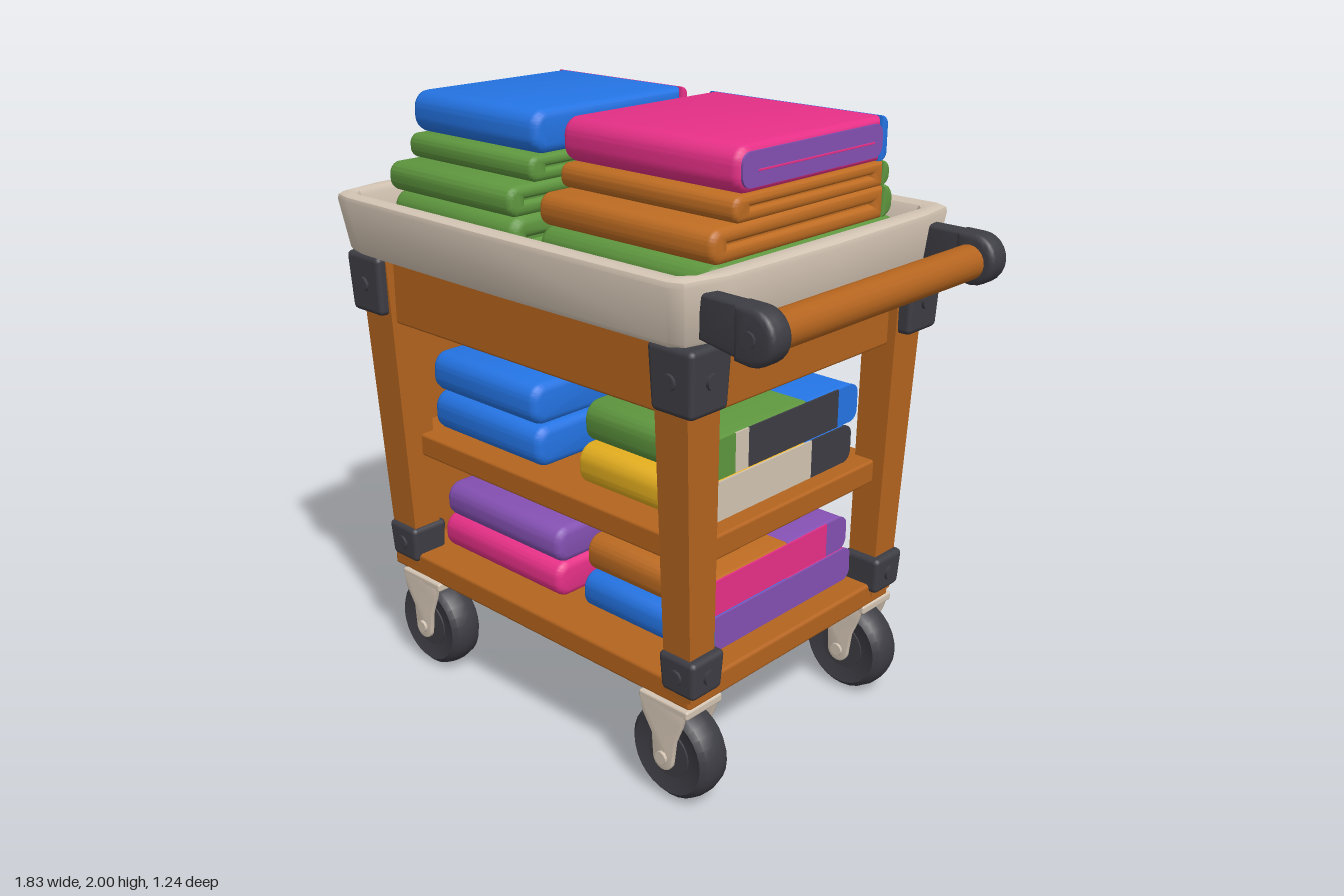
import * as THREE from 'three';
import { toCreasedNormals } from 'three/addons/utils/BufferGeometryUtils.js';
import { RoundedBoxGeometry } from 'three/addons/geometries/RoundedBoxGeometry.js';

const colours = {
  blue: 0x2474e4, pink: 0xe83088, green: 0x5e963e, purple: 0x8450b2, yellow: 0xe6b01f,
  wood: 0xb4641e, rust: 0xbe6c22, beige: 0xd3c4b3, dark: 0x3c3c43,
};

export function createModel() {
  const cart = new THREE.Group();
  cart.name = 'towelCart';
  const mats = {};
  for (const [name, color] of Object.entries(colours)) {
    mats[name] = new THREE.MeshStandardMaterial({ color });
    mats[name].name = name;
  }
  const add = (name, geo, mat, parent = cart) => {
    const mesh = new THREE.Mesh(geo, mats[mat]);
    mesh.name = name;
    parent.add(mesh);
    return mesh;
  };
  const box = (name, mat, [x0, x1], [y0, y1], [z0, z1], r = 0.01) => {
    const g = new RoundedBoxGeometry(x1 - x0, y1 - y0, z1 - z0, 2, r);
    g.translate((x0 + x1) / 2, (y0 + y1) / 2, (z0 + z1) / 2);
    return add(name, g, mat);
  };
  const extrude = (shape, depth, b) => toCreasedNormals(new THREE.ExtrudeGeometry(shape, {
    depth: depth - 2 * b, bevelEnabled: b > 0, bevelSize: b, bevelThickness: b, bevelOffset: -b,
    bevelSegments: 3, curveSegments: 6,
  }).translate(0, 0, b), 0.7);
  const outline = (pts, Type) => new Type(pts.map(q => new THREE.Vector2(...q)));

  // Shelves and aprons
  box('bottomShelf', 'wood', [-0.815, 0.6], [0.35, 0.43], [-0.505, 0.505], 0.012);
  box('middleShelf', 'wood', [-0.78, 0.575], [0.79, 0.87], [-0.46, 0.46]);
  for (const s of [1, -1]) {
    box(s > 0 ? 'frontApron' : 'backApron', 'wood', [-0.72, 0.54], [1.28, 1.52], [s * 0.505 - 0.025, s * 0.505 + 0.025]);
  }
  box('rightApron', 'wood', [0.54, 0.595], [1.27, 1.52], [-0.47, 0.47]);

  // Closed end panel, flush with the flared legs
  const panel = box('endPanel', 'wood', [-0.8, -0.76], [0.4, 1.52], [-0.5, 0.5], 0.005);
  const pp = panel.geometry.attributes.position;
  for (let i = 0; i < pp.count; i++) {
    const t = (pp.getY(i) - 0.4) / 1.12;
    pp.setX(i, pp.getX(i) - 0.025 * t);
    pp.setZ(i, pp.getZ(i) * (1 + 0.1 * t));
  }

  // Legs flare outward toward the top
  const leg = (sx, sz) => {
    const g = new THREE.BoxGeometry(1, 1, 1), p = g.attributes.position;
    for (let i = 0; i < p.count; i++) {
      const top = p.getY(i) > 0, outX = p.getX(i) * sx > 0, outZ = p.getZ(i) * sz > 0;
      const x = outX ? (top ? 0.725 : 0.7) : (sx > 0 ? 0.597 : 0.582);
      const z = outZ ? (top ? 0.56 : 0.505) : (top ? 0.42 : 0.403);
      p.setXYZ(i, -0.095 + sx * x, top ? 1.52 : 0.38, sz * z);
    }
    g.computeVertexNormals();
    add('leg', g, 'wood');
  };

  // Corner brackets with one bolt on each outer face
  const bracket = (sx, sz, x, y, z, w, h) => {
    const group = new THREE.Group();
    group.name = 'cornerBracket';
    group.position.set(x, y, z);
    const g = new RoundedBoxGeometry(w, h, w, 2, 0.018), p = g.attributes.position;
    for (let i = 0; i < p.count; i++) {
      const k = 0.95 + 0.1 * (p.getY(i) / h);
      p.setX(i, p.getX(i) * k);
      p.setZ(i, p.getZ(i) * k);
    }
    add('bracketBody', g, 'dark', group);
    const bolt = new THREE.CylinderGeometry(0.025, 0.025, 0.016, 10).rotateX(Math.PI / 2);
    add('bolt', bolt, 'dark', group).position.z = sz * (w / 2 - 0.002);
    const side = add('bolt', bolt, 'dark', group);
    side.rotation.y = Math.PI / 2;
    side.position.x = sx * (w / 2 - 0.002);
    cart.add(group);
  };

  // Casters: tyre, hub, tapered fork plates and axle
  const caster = (x, z) => {
    const group = new THREE.Group();
    group.name = 'caster';
    group.position.set(x, 0.16, z);
    const tyre = [[0.05, -0.045], [0.1, -0.05], [0.135, -0.06], [0.152, -0.045], [0.16, -0.015],
      [0.16, 0.015], [0.152, 0.045], [0.135, 0.06], [0.1, 0.05], [0.05, 0.045]].map(q => new THREE.Vector2(...q));
    add('tyre', toCreasedNormals(new THREE.LatheGeometry(tyre, 28).rotateX(Math.PI / 2), 0.6), 'dark', group);
    add('hub', new THREE.CylinderGeometry(0.08, 0.08, 0.108, 20).rotateX(Math.PI / 2), 'dark', group);
    const s = new THREE.Shape();
    s.moveTo(-0.095, 0.185);
    s.lineTo(-0.085, 0.13);
    s.lineTo(-0.045, 0.07);
    s.lineTo(-0.04, 0.0);
    s.absarc(0, -0.005, 0.04, Math.PI, 0, false);
    s.lineTo(0.05, 0.07);
    s.lineTo(0.075, 0.13);
    s.lineTo(0.09, 0.185);
    for (const side of [1, -1]) {
      add('forkPlate', extrude(s, 0.016, 0.003), 'beige', group).position.z = side * 0.072 - 0.008;
    }
    add('mountPlate', new RoundedBoxGeometry(0.2, 0.03, 0.16, 2, 0.008), 'beige', group).position.y = 0.182;
    add('axle', new THREE.CylinderGeometry(0.022, 0.022, 0.18, 10).rotateX(Math.PI / 2), 'beige', group);
    cart.add(group);
  };

  for (const sx of [1, -1]) for (const sz of [1, -1]) {
    leg(sx, sz);
    bracket(sx, sz, -0.087 + sx * 0.678, 1.41, sz * 0.505, 0.17, 0.2);
    bracket(sx, sz, -0.087 + sx * 0.65, 0.465, sz * 0.455, 0.145, 0.13);
    caster(-0.075 + sx * 0.58, sz * 0.44);
  }

  // Tray rim: bowed outline, narrower at the bottom
  const rim = outline([[-0.77, -0.57], [-0.75, -0.6], [-0.68, -0.615], [0.0, -0.625], [0.72, -0.62], [0.765, -0.6],
    [0.8, -0.46], [0.81, 0], [0.8, 0.46], [0.78, 0.6], [0.74, 0.62], [0, 0.62], [-0.7, 0.605], [-0.76, 0.59],
    [-0.79, 0.42], [-0.81, 0], [-0.795, -0.42]], THREE.Shape);
  rim.holes.push(outline([[-0.73, -0.52], [-0.7, -0.55], [0.7, -0.55], [0.725, -0.52],
    [0.725, 0.52], [0.7, 0.55], [-0.7, 0.55], [-0.73, 0.52]], THREE.Path));
  const rimGeo = new THREE.ExtrudeGeometry(rim, {
    depth: 0.16, bevelSize: 0.02, bevelThickness: 0.02, bevelOffset: -0.02, bevelSegments: 2,
  }).rotateX(-Math.PI / 2).translate(0, 1.52, 0);
  const rp = rimGeo.attributes.position;
  for (let i = 0; i < rp.count; i++) {
    const t = (1.7 - rp.getY(i)) / 0.2;
    rp.setX(i, rp.getX(i) * (1 - 0.03 * t) - 0.11);
    rp.setZ(i, rp.getZ(i) * (1 - 0.05 * t));
  }
  add('trayRim', toCreasedNormals(rimGeo, 0.5), 'beige');
  box('trayFloor', 'wood', [-0.85, 0.63], [1.505, 1.54], [-0.54, 0.54]);

  // Push handle: slim arms with thicker rounded ends
  const armShape = (x0, yLow) => {
    const s = new THREE.Shape();
    s.moveTo(x0, yLow);
    s.lineTo(0.837, 1.499);
    s.absarc(0.837, 1.579, 0.08, -Math.PI / 2, Math.PI / 2, false);
    s.lineTo(x0, 1.66);
    return s;
  };
  for (const s of [1, -1]) {
    add('handleArm', extrude(armShape(0.65, 1.53), 0.06, 0.012), 'dark').position.z = s * 0.512 - 0.03;
    add('handleEnd', extrude(armShape(0.78, 1.505), 0.085, 0.018), 'dark').position.z = s * 0.515 - 0.0425;
    add('handleBolt', new THREE.CylinderGeometry(0.024, 0.024, 0.014, 10).rotateX(Math.PI / 2), 'dark')
      .position.set(0.837, 1.577, s * 0.558);
  }
  add('handleBar', new THREE.CylinderGeometry(0.055, 0.055, 0.97, 20).rotateX(Math.PI / 2), 'wood').position.set(0.83, 1.572, 0);

  // Folded cloth section: side profile with rounded front and back ends, extruded along x
  const cloth = (name, mat, [x0, x1], [y0, y1], [zb, zf], rb, rf, b, slot) => {
    const s = new THREE.Shape(), f = -zf, k = -zb, q = Math.PI / 2;
    s.moveTo(f + rf, y0);
    s.lineTo(k - rb, y0);
    if (rb) s.absarc(k - rb, y0 + rb, rb, -q, 0, false);
    s.lineTo(k, y1 - rb);
    if (rb) s.absarc(k - rb, y1 - rb, rb, 0, q, false);
    s.lineTo(f + rf, y1);
    if (rf) s.absarc(f + rf, y1 - rf, rf, q, 2 * q, false);
    s.lineTo(f, y0 + rf);
    if (rf) s.absarc(f + rf, y0 + rf, rf, 2 * q, 3 * q, false);
    if (slot) {
      // Crease between the two folded layers, closed off inside
      const m = (y0 + y1) / 2;
      s.holes.push(outline([[f + 0.07, m - 0.003], [k - 0.05, m - 0.003], [k - 0.05, m + 0.003], [f + 0.07, m + 0.003]], THREE.Path));
      box('foldCore', mat, [x0 + 0.02, x1 - 0.02], [m - 0.008, m + 0.008], [zb + 0.04, zf - 0.06], 0.002);
    }
    add(name, extrude(s, x1 - x0, b).rotateY(Math.PI / 2).translate(x0, 0, 0), mat);
  };
  const towel = (xs, ys, zs, split, front, back, slot = false, strips = []) => {
    const h = ys[1] - ys[0], r = Math.min(0.055, h * 0.42);
    const b = strips.length > 1 ? 0.01 : Math.min(0.028, h * 0.2);
    if (front === back) cloth('towel', front, xs, ys, zs, r, r, b, slot);
    else {
      const w = split - zs[0];
      cloth('towelFront', front, xs, ys, [split, zs[1]], 0, r, b, slot);
      cloth('towelBack', back, xs, ys, [zs[0], split], Math.min(r, w * 0.9), 0, Math.min(b, w * 0.35), false);
    }
    // Coloured folds showing on the side
    const inset = strips.length > 1 ? 0.004 : 0.018;
    strips.forEach(([z0, z1, mat], i) => cloth('sideFold', mat, [xs[1] - 0.005, xs[1] + 0.004],
      [ys[0] + inset, ys[1] - inset], [z0, z1], i === strips.length - 1 ? 0.035 : 0, i === 0 ? 0.035 : 0, 0, false));
  };

  // Stacks in the tray; the left one has differently coloured cloth at the back
  const L = [-0.795, -0.2], R = [-0.085, 0.6], LB = [-0.775, -0.205];
  towel(L, [1.54, 1.69], [-0.44, 0.43], 0, 'green', 'green', true);
  towel(L, [1.69, 1.785], [-0.36, 0.44], 0, 'green', 'green', true);
  towel(L, [1.785, 1.865], [-0.35, 0.35], 0, 'green', 'green', true);
  cloth('towelBackFold', 'rust', LB, [1.76, 1.865], [-0.375, -0.3], 0.035, 0, 0.012, false);
  cloth('towelBackFold', 'blue', LB, [1.665, 1.76], [-0.41, -0.3], 0.035, 0, 0.012, false);
  towel(L, [1.865, 2], [-0.355, 0.33], -0.325, 'blue', 'pink', true);
  towel(R, [1.54, 1.69], [-0.44, 0.435], 0, 'green', 'green', true);
  towel(R, [1.69, 1.79], [-0.4, 0.43], -0.35, 'rust', 'green', true);
  towel(R, [1.79, 1.865], [-0.375, 0.34], -0.34, 'rust', 'green', true);
  towel(R, [1.865, 2], [-0.355, 0.33], -0.325, 'pink', 'blue', false, [[-0.32, 0.315, 'purple']]);
  box('sideCrease', 'pink', [0.6, 0.606], [1.925, 1.931], [-0.28, 0.25], 0.001);

  // Stacks on the two shelves
  const Z = [-0.41, 0.4];
  towel([-0.68, -0.15], [0.87, 1.01], Z, 0, 'blue', 'yellow');
  towel([-0.68, -0.165], [1.01, 1.15], Z, 0, 'blue', 'green');
  towel([0.02, 0.515], [0.87, 1.005], [-0.36, 0.385], -0.12, 'yellow', 'blue', false,
    [[0.3, 0.382, 'rust'], [-0.15, 0.3, 'beige'], [-0.356, -0.15, 'dark']]);
  towel([0.02, 0.515], [1.005, 1.14], [-0.385, 0.355], -0.12, 'green', 'blue', false,
    [[0.22, 0.352, 'green'], [0.16, 0.22, 'beige'], [-0.28, 0.16, 'dark'], [-0.381, -0.28, 'blue']]);
  towel([-0.66, -0.07], [0.43, 0.555], Z, 0, 'pink', 'blue');
  towel([-0.64, -0.07], [0.555, 0.68], Z, 0, 'purple', 'rust');
  towel([0.02, 0.515], [0.43, 0.555], [-0.39, 0.375], -0.05, 'blue', 'pink', false,
    [[0.3, 0.371, 'blue'], [-0.386, 0.3, 'purple']]);
  towel([0.02, 0.515], [0.555, 0.68], [-0.36, 0.355], -0.05, 'rust', 'purple', false,
    [[0.31, 0.351, 'rust'], [-0.25, 0.31, 'pink'], [-0.356, -0.25, 'purple']]);

  return cart;
}
